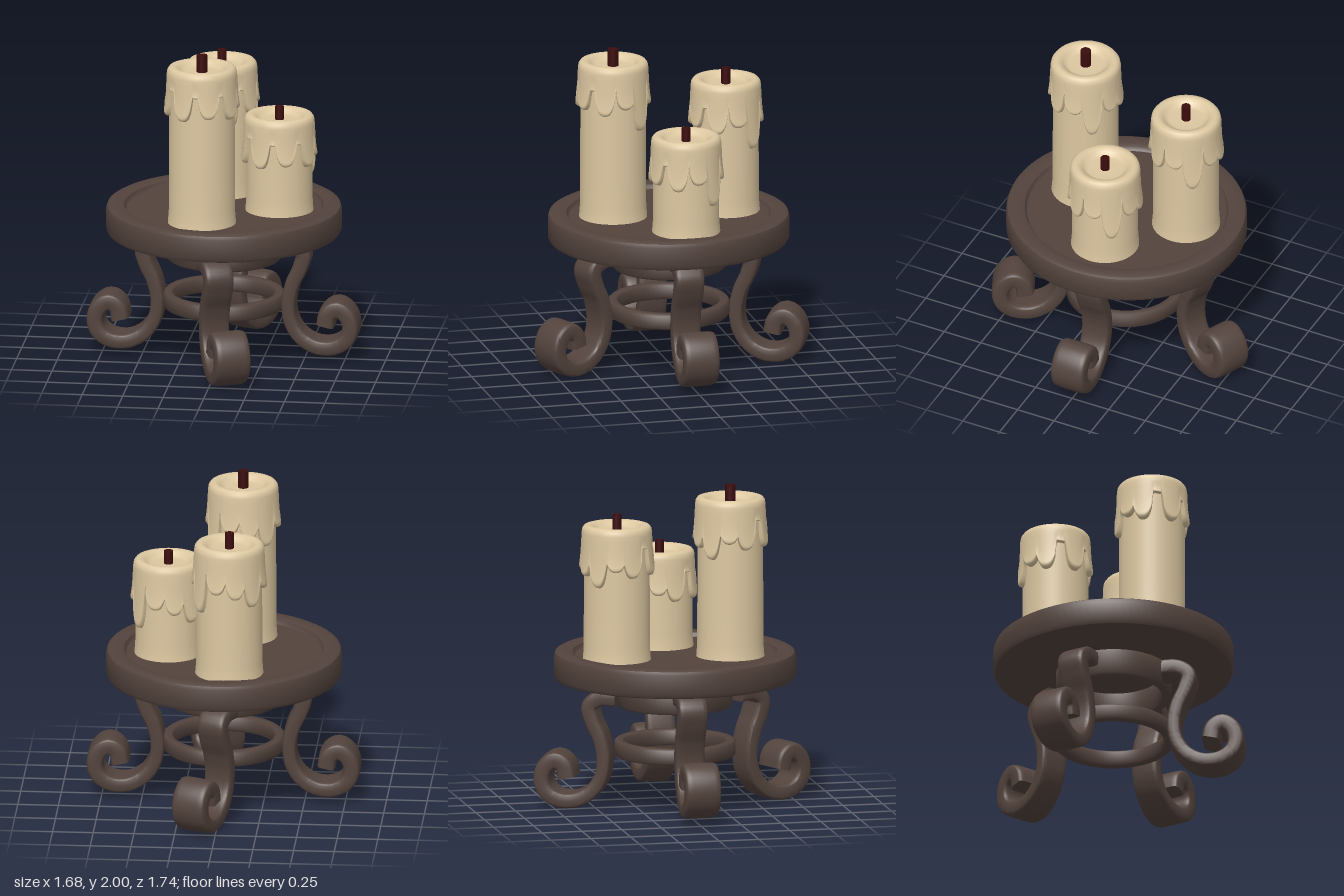
import * as THREE from 'three';
import { toCreasedNormals, mergeVertices } from 'three/addons/utils/BufferGeometryUtils.js';

const material = (name, color) => {
  const m = new THREE.MeshStandardMaterial({ color });
  m.name = name;
  return m;
};

const lathe = (pts, segments = 72) =>
  new THREE.LatheGeometry(pts.map(([x, y]) => new THREE.Vector2(x, y)), segments);

// Ring with a chamfered rectangular section
function ringGeometry(inner, outer, y0, y1) {
  const c = 0.012;
  return toCreasedNormals(lathe([
    [inner + c, y0], [outer - c, y0], [outer, y0 + c], [outer, y1 - c], [outer - c, y1],
    [inner + c, y1], [inner, y1 - c], [inner, y0 + c], [inner + c, y0],
  ]), 0.9);
}

// Scrolled leg: rounded flat bar swept along a curve, measured from its knee
const KNEE = 0.495;
function legGeometry() {
  const path = new THREE.CatmullRomCurve3([
    [0.33, 0.728], [0.43, 0.725], [0.495, 0.675], [0.475, 0.58], [0.43, 0.48], [0.405, 0.36],
    [0.42, 0.24], [0.48, 0.145], [0.58, 0.088], [0.69, 0.09], [0.765, 0.14], [0.79, 0.215],
    [0.765, 0.295], [0.705, 0.334], [0.65, 0.3], [0.633, 0.225],
  ].map(([x, y]) => new THREE.Vector3(x - KNEE, y, 0)));
  const rows = 90, cols = 24, pos = [], index = [];
  const soft = v => Math.sign(v) * Math.abs(v) ** 0.35;
  for (let i = 0; i <= rows; i++) {
    const t = i / rows, p = path.getPointAt(t), d = path.getTangentAt(t);
    const thick = 0.085 + 0.027 * Math.abs(t - 0.4) / 0.6;
    const wide = 0.18 + 0.04 * THREE.MathUtils.smoothstep(t, 0.45, 0.75);
    for (let j = 0; j < cols; j++) {
      const a = (j / cols) * Math.PI * 2;
      const n = soft(Math.cos(a)) * thick / 2, b = soft(Math.sin(a)) * wide / 2;
      pos.push(p.x - d.y * n, p.y + d.x * n, b);
      if (i < rows) {
        const k = i * cols + j, l = i * cols + (j + 1) % cols;
        index.push(k, l, k + cols, l, l + cols, k + cols);
      }
    }
  }
  const last = rows * cols;
  for (let j = 1; j < cols - 1; j++) {
    index.push(0, j + 1, j, last, last + j, last + j + 1);
  }
  const g = new THREE.BufferGeometry();
  g.setAttribute('position', new THREE.Float32BufferAttribute(pos, 3));
  g.setIndex(index);
  return toCreasedNormals(g, 0.7);
}

// Melted wax cap: a lathe whose lower edge is pulled down into drips [degrees, length]
const DRIPS = [[-75, 0.31], [-26, 0.31], [18, 0.29], [62, 0.31], [97, 0.27], [127, 0.42],
  [162, 0.28], [194, 0.31], [225, 0.37], [256, 0.27]];
function waxGeometry() {
  const TOP = -0.045, HEM = -1;
  const skirt = [[0.19, HEM], [0.203, -0.995], [0.214, -0.975], [0.221, -0.94], [0.223, -0.9],
    [0.221, -0.85], [0.219, -0.78], [0.217, -0.65], [0.216, -0.5], [0.216, -0.3], [0.216, -0.15]];
  const crown = [[0.216, TOP], [0.212, -0.022], [0.2, -0.006], [0.18, 0], [0.16, -0.004],
    [0.14, -0.018], [0.125, -0.034], [0.105, -0.04], [0.05, -0.038], [0, -0.037]];
  const g = lathe([...skirt, ...crown], 180);
  const p = g.attributes.position;
  for (let i = 0; i < p.count; i++) {
    const y = p.getY(i);
    if (y > -0.1) continue;
    const x = p.getX(i), z = p.getZ(i), deg = THREE.MathUtils.radToDeg(Math.atan2(x, z));
    let length = 0.145 + 0.015 * Math.sin(deg * 0.0349 + 1), bulge = 0;
    for (const [at, reach] of DRIPS) {
      const away = Math.abs(((deg - at + 540) % 360) - 180) / 17;
      if (away >= 1) continue;
      const round = Math.sqrt(1 - away ** 2.6);
      length = Math.max(length, 0.145 + (reach - 0.145) * round);
      bulge = Math.max(bulge, round);
    }
    const f = 1 + 0.045 * bulge * Math.min(1, -y * 1.3) * (y > -0.99 ? 1 : 0);
    p.setXYZ(i, x * f, TOP + y * (length + TOP), z * f);
  }
  g.deleteAttribute('uv');
  g.deleteAttribute('normal');
  const merged = mergeVertices(g, 1e-5);
  merged.computeVertexNormals();
  return merged;
}

export function createModel() {
  const root = new THREE.Group();
  root.name = 'candleStand';
  const iron = material('dark brown iron', 0x53433d);
  const cream = material('cream wax', 0xdcc7a0);
  const char = material('dark red wick', 0x3c0c0e);
  const add = (parent, name, geometry, mat, x = 0, y = 0, z = 0) => {
    const m = new THREE.Mesh(geometry, mat);
    m.name = name;
    m.position.set(x, y, z);
    parent.add(m);
    return m;
  };

  // Round tray with a raised rim
  const tray = add(root, 'tray', toCreasedNormals(lathe([
    [0, 0.785], [0.69, 0.785], [0.715, 0.793], [0.728, 0.815], [0.728, 0.935], [0.72, 0.957],
    [0.7, 0.968], [0.635, 0.968], [0.615, 0.96], [0.607, 0.94], [0.6, 0.935], [0, 0.935],
  ], 96), 0.6), iron);
  tray.scale.set(0.993, 1, 1.02);

  // Collar under the tray and the brace between the legs
  add(root, 'collar', ringGeometry(0.295, 0.354, 0.62, 0.8), iron);
  add(root, 'brace', ringGeometry(0.31, 0.372, 0.31, 0.41), iron);

  // Four legs; front and back ones are splayed towards +x
  const leg = legGeometry();
  const splay = THREE.MathUtils.degToRad(66);
  for (const [name, x, y, z, turn] of [
    ['leftLeg', KNEE, 0, 0, 0], ['rightLeg', -KNEE, 0, 0, Math.PI],
    ['frontLeg', 0.03, -0.035, 0.52, -splay], ['backLeg', 0.03, -0.035, -0.52, splay],
  ]) add(root, name, leg, iron, x, y, z).rotation.y = turn;

  // Candles share one wax cap shape and differ in height
  const wax = waxGeometry();
  for (const [name, x, z, top, tip, wickRadius] of [
    ['frontCandle', -0.095, 0.327, 1.93, 2.0, 0.033],
    ['leftCandle', 0.34, -0.022, 1.545, 1.59, 0.028],
    ['backCandle', -0.06, -0.378, 1.775, 1.837, 0.028],
  ]) {
    const candle = new THREE.Group();
    candle.name = name;
    candle.position.set(x, 0, z);
    root.add(candle);
    const body = lathe([[0.21, 0.93], [0.207, 0.96], [0.203, 1.02], [0.203, 1.2], [0.2, top - 0.05]], 64);
    add(candle, 'body', body, cream);
    add(candle, 'meltedWax', wax, cream, 0, top, 0);
    const height = tip - top + 0.06;
    add(candle, 'wick', new THREE.CylinderGeometry(wickRadius, wickRadius, height, 20), char, 0, tip - height / 2, 0);
  }
  return root;
}
